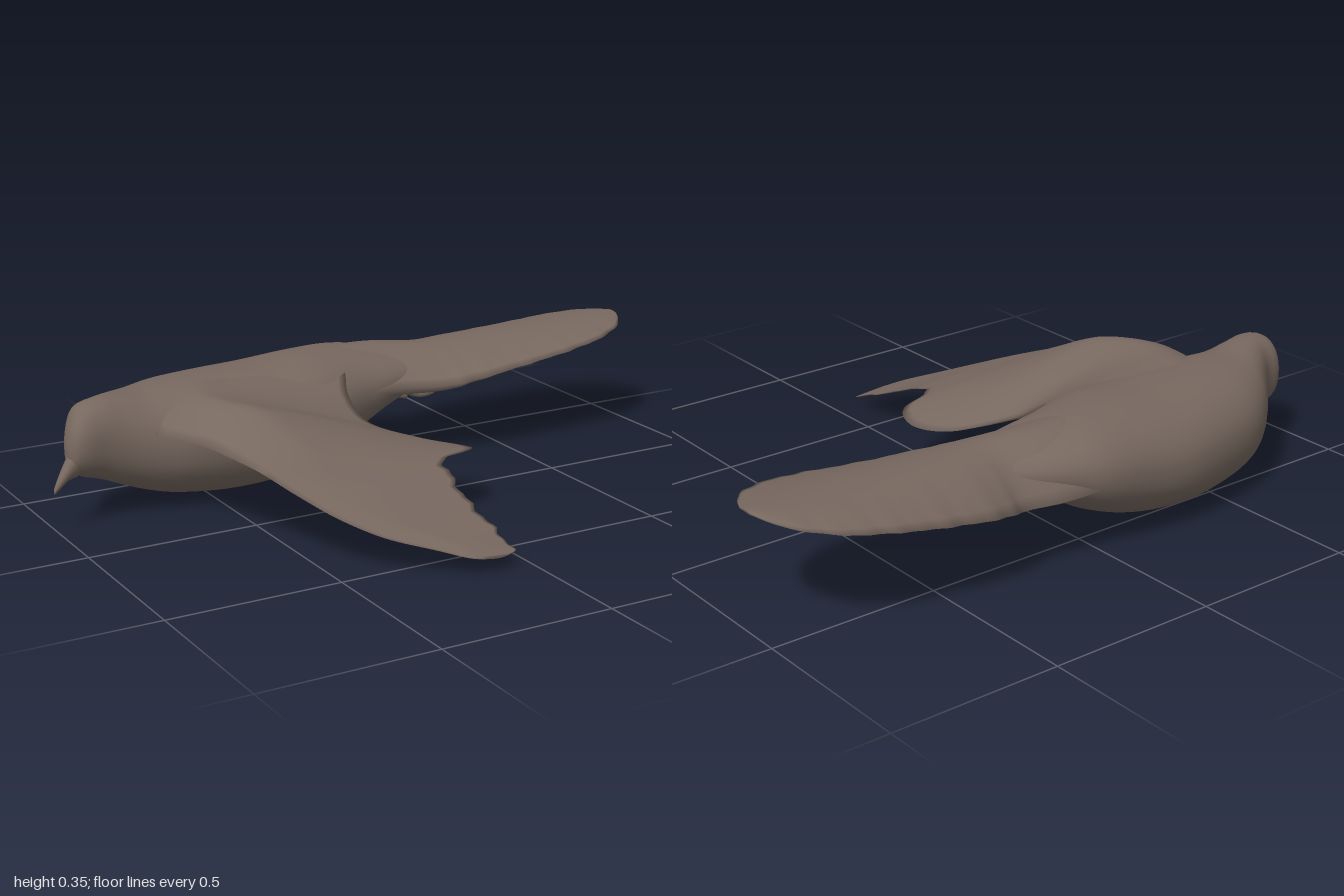
import * as THREE from 'three';

const plumage = new THREE.MeshStandardMaterial({ color: 0x77685f });
plumage.name = 'brown plumage';

// Smoothly resample a table of section rows (Catmull-Rom on every column)
function resample(rows, count) {
  const last = rows.length - 1;
  const out = [];
  for (let i = 0; i <= count; i++) {
    const f = (i / count) * last;
    const k = Math.min(Math.floor(f), last - 1);
    const t = f - k;
    const [a, b, c, d] = [k - 1, k, k + 1, k + 2].map((n) => rows[Math.max(0, Math.min(last, n))]);
    out.push(b.map((_, j) => 0.5 * (2 * b[j] + (c[j] - a[j]) * t
      + (2 * a[j] - 5 * b[j] + 4 * c[j] - d[j]) * t * t
      + (3 * b[j] - a[j] - 3 * c[j] + d[j]) * t * t * t)));
  }
  return out;
}

// Skin a list of closed rings and close both ends
function loft(name, rings) {
  const n = rings[0].length;
  const pos = rings.flat(2);
  const index = [];
  for (let i = 0; i < rings.length - 1; i++) {
    for (let j = 0; j < n; j++) {
      const a = i * n + j, b = i * n + (j + 1) % n;
      index.push(a, a + n, b, b, a + n, b + n);
    }
  }
  for (const [ring, start] of [[rings[0], 0], [rings[rings.length - 1], (rings.length - 1) * n]]) {
    const centre = pos.length / 3;
    for (let k = 0; k < 3; k++) pos.push(ring.reduce((s, p) => s + p[k], 0) / n);
    for (let j = 0; j < n; j++) {
      const a = start + j, b = start + (j + 1) % n;
      if (start === 0) index.push(centre, a, b);
      else index.push(centre, b, a);
    }
  }
  const geo = new THREE.BufferGeometry();
  geo.setAttribute('position', new THREE.Float32BufferAttribute(pos, 3));
  geo.setIndex(index);
  geo.computeVertexNormals();
  const mesh = new THREE.Mesh(geo, plumage);
  mesh.name = name;
  return mesh;
}

// Rounded section across x; rows are x, zMin, zMax, yTop, yBottom
function roundRing([x, z0, z1, top, bottom], sides, power) {
  return Array.from({ length: sides }, (_, j) => {
    const a = (j / sides) * Math.PI * 2;
    const s = Math.sin(a), c = Math.cos(a);
    const e = 2 / power;
    return [x,
      (top + bottom) / 2 + (top - bottom) / 2 * Math.sign(s) * Math.abs(s) ** e,
      (z0 + z1) / 2 + (z1 - z0) / 2 * Math.sign(c) * Math.abs(c) ** e];
  });
}

// Closed thin blade: f(t, bottom) runs along one face, then back along the other
function bladeRing(f, steps, bottomFirst) {
  const go = [], back = [];
  for (let j = 0; j < steps; j++) {
    go.push(f(j / steps, bottomFirst));
    back.push(f(1 - j / steps, !bottomFirst));
  }
  return [...go, ...back];
}

function makeBody() {
  const rows = [
    [-0.95, -0.275, -0.245, 0.235, 0.18],
    [-0.935, -0.315, -0.222, 0.285, 0.155],
    [-0.9, -0.37, -0.21, 0.332, 0.13],
    [-0.84, -0.388, -0.21, 0.347, 0.11],
    [-0.78, -0.44, -0.205, 0.345, 0.08],
    [-0.7, -0.52, -0.19, 0.338, 0.045],
    [-0.6, -0.58, -0.17, 0.343, 0.017],
    [-0.45, -0.62, -0.16, 0.345, 0],
    [-0.3, -0.645, -0.155, 0.345, 0.005],
    [-0.15, -0.645, -0.185, 0.352, 0.03],
    [0, -0.642, -0.25, 0.348, 0.09],
    [0.1, -0.615, -0.275, 0.335, 0.145],
    [0.2, -0.575, -0.3, 0.318, 0.19],
    [0.3, -0.52, -0.35, 0.308, 0.23],
    [0.38, -0.46, -0.4, 0.3, 0.26],
  ];
  return loft('body', resample(rows, 56).map((r) => roundRing(r, 40, 2.2)));
}

function makeBeak() {
  const rows = [
    [-1, -0.242, -0.232, 0.122, 0.106],
    [-0.98, -0.257, -0.228, 0.158, 0.12],
    [-0.955, -0.274, -0.226, 0.195, 0.136],
    [-0.925, -0.295, -0.23, 0.23, 0.14],
  ];
  return loft('beak', resample(rows, 9).map((r) => roundRing(r, 14, 2)));
}

function makeTail() {
  // x, zMin, zMax, top, droop of the edges, thickness
  const rows = [
    [-0.1, -0.6, -0.29, 0.335, 0.12, 0.1],
    [0.02, -0.63, -0.262, 0.347, 0.125, 0.1],
    [0.14, -0.625, -0.26, 0.345, 0.125, 0.1],
    [0.27, -0.605, -0.228, 0.334, 0.115, 0.085],
    [0.38, -0.635, -0.205, 0.331, 0.095, 0.065],
    [0.55, -0.637, -0.205, 0.333, 0.073, 0.042],
    [0.7, -0.628, -0.208, 0.336, 0.053, 0.03],
    [0.82, -0.607, -0.225, 0.34, 0.038, 0.022],
    [0.91, -0.565, -0.262, 0.343, 0.025, 0.016],
    [0.97, -0.5, -0.32, 0.345, 0.015, 0.012],
    [1, -0.43, -0.375, 0.345, 0.005, 0.009],
  ];
  const rings = resample(rows, 80).map(([x, z0, z1, top, droop, thick]) => {
    const rag = x > 0.3 ? 0.002 * Math.sin(x * 48) + 0.002 * Math.sin(x * 83) : 0;
    return bladeRing((t, bottom) => {
      const u = 2 * t - 1;
      const y = top - droop * u * u * (1 + 0.15 * u) - (bottom ? thick * Math.sqrt(1 - u * u) : 0);
      return [x, y, z1 + rag + (z0 - z1 - 2 * rag) * t];
    }, 18, false);
  });
  return loft('tail', rings);
}

function makeWing() {
  // z, leading x, trailing x, leading y, crest y, trailing y, thickness
  const rows = [
    [-0.38, -0.66, -0.02, 0.3, 0.338, 0.335, 0.08],
    [-0.28, -0.69, -0.06, 0.27, 0.343, 0.312, 0.08],
    [-0.19, -0.71, -0.095, 0.245, 0.344, 0.262, 0.08],
    [-0.1, -0.688, -0.075, 0.25, 0.343, 0.205, 0.06],
    [0, -0.652, 0.05, 0.255, 0.332, 0.165, 0.042],
    [0.1, -0.62, 0.115, 0.245, 0.287, 0.163, 0.032],
    [0.19, -0.588, 0.09, 0.23, 0.243, 0.18, 0.026],
    [0.24, -0.565, -0.03, 0.213, 0.22, 0.187, 0.022],
    [0.32, -0.525, -0.06, 0.182, 0.19, 0.17, 0.02],
    [0.42, -0.462, -0.07, 0.14, 0.148, 0.13, 0.018],
    [0.51, -0.375, -0.06, 0.1, 0.11, 0.092, 0.016],
    [0.585, -0.265, -0.055, 0.07, 0.08, 0.065, 0.014],
    [0.63, -0.2, -0.055, 0.052, 0.057, 0.047, 0.012],
    [0.643, -0.16, -0.08, 0.045, 0.048, 0.043, 0.009],
  ];
  const rings = resample(rows, 90).map(([z, xl, xt, yl, yc, yt, thick]) => {
    const rag = z > 0.2 ? 0.006 * Math.sin(z * 62) + 0.004 * Math.sin(z * 131) : 0;
    return bladeRing((s, bottom) => {
      // s runs trailing to leading on the lower face, and back on the upper one
      const t = 1 - s;
      const y = t < 0.25
        ? yl + (yc - yl) * Math.sin(t * 2 * Math.PI)
        : yc + (yt - yc) * ((t - 0.25) / 0.75) ** 1.15;
      const cut = bottom ? thick * Math.max(0, Math.sin(Math.PI * t)) ** 0.6 : 0;
      return [xl + (xt + rag - xl) * t, y - cut, z];
    }, 24, true);
  });
  return loft('wing', rings);
}

// Curled feet tucked under the tail
function makeFoot(z, name) {
  const foot = new THREE.Group();
  foot.name = name;
  const tube = (points, radius, part) => {
    const curve = new THREE.CatmullRomCurve3(points.map((p) => new THREE.Vector3(...p)));
    const mesh = new THREE.Mesh(new THREE.TubeGeometry(curve, 12, radius, 7), plumage);
    mesh.name = part;
    foot.add(mesh);
    const tip = new THREE.Mesh(new THREE.SphereGeometry(radius, 8, 6), plumage);
    tip.name = part + 'Tip';
    tip.position.set(...points[points.length - 1]);
    foot.add(tip);
  };
  tube([[0.08, 0.19, z], [0.15, 0.185, z], [0.22, 0.2, z]], 0.02, 'leg');
  for (const s of [-1, 0, 1]) {
    tube([[0.2, 0.2, z], [0.26, 0.185 - 0.012 * s, z + 0.022 * s],
      [0.31, 0.195 - 0.01 * s, z + 0.028 * s], [0.35 - 0.03 * s * s, 0.225, z + 0.025 * s]], 0.013, 'toe');
  }
  tube([[0.2, 0.195, z], [0.19, 0.178, z], [0.22, 0.168, z]], 0.011, 'hindToe');
  return foot;
}

export function createModel() {
  const bird = new THREE.Group();
  bird.name = 'bird';
  bird.add(makeBody(), makeBeak(), makeTail(), makeWing());
  bird.add(makeFoot(-0.41, 'leftFoot'), makeFoot(-0.48, 'rightFoot'));
  return bird;
}
